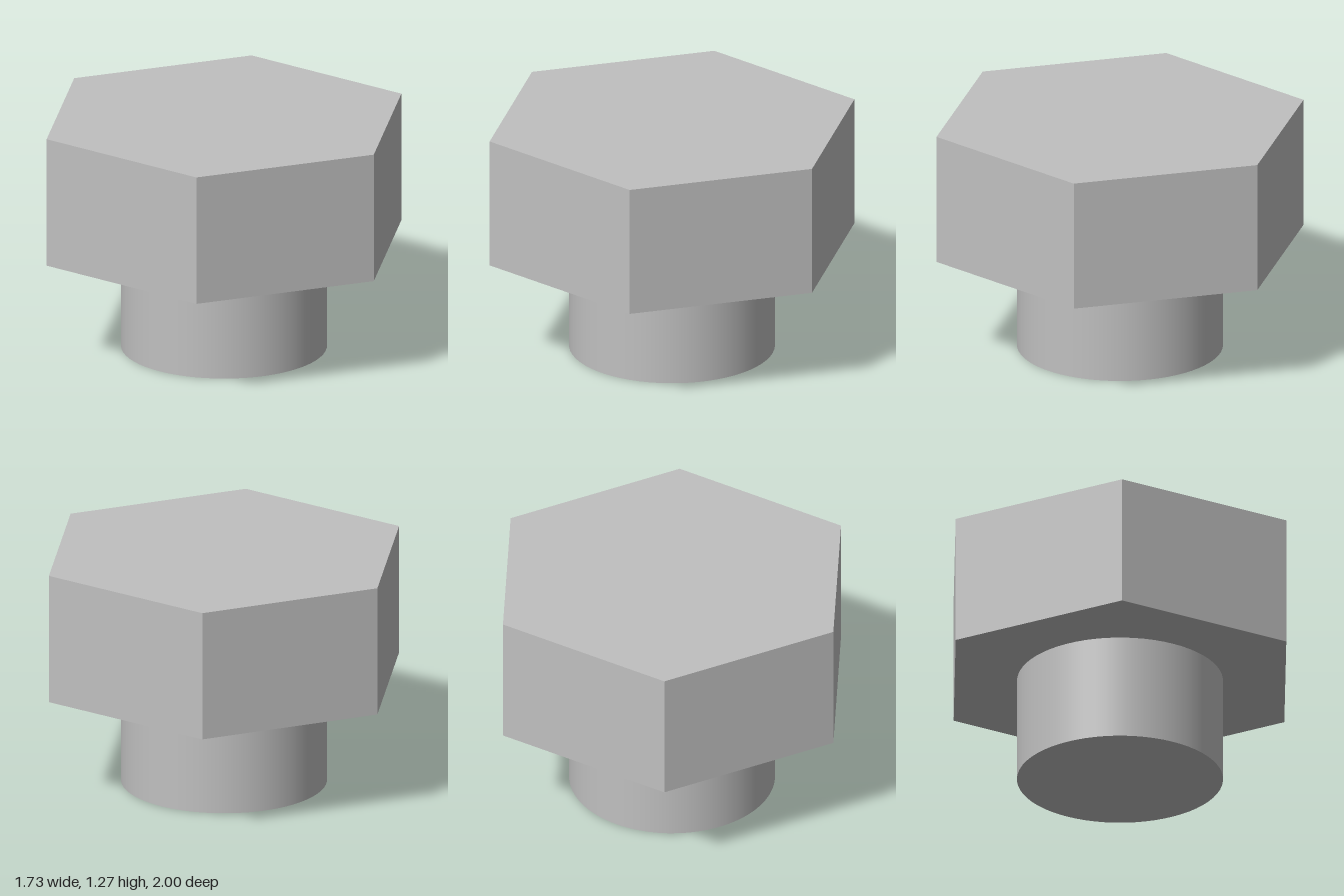
import * as THREE from 'three';

const HEAD_RADIUS = 1;
const HEAD_HEIGHT = 0.7;
const SHANK_RADIUS = 0.54;
const SHANK_HEIGHT = 0.567;

export function createModel() {
  const group = new THREE.Group();
  group.name = 'hexBolt';

  const steel = new THREE.MeshStandardMaterial({ color: 0xc0c0c0 });
  steel.name = 'steel grey';

  // Hexagonal head with hard edges, corners pointing front and back
  const headGeometry = new THREE.CylinderGeometry(HEAD_RADIUS, HEAD_RADIUS, HEAD_HEIGHT, 6).toNonIndexed();
  headGeometry.computeVertexNormals();
  const head = new THREE.Mesh(headGeometry, steel);
  head.name = 'hexHead';
  head.position.y = SHANK_HEIGHT + HEAD_HEIGHT / 2;
  group.add(head);

  // Smooth round shank standing on the ground
  const shank = new THREE.Mesh(
    new THREE.CylinderGeometry(SHANK_RADIUS, SHANK_RADIUS, SHANK_HEIGHT, 64), steel);
  shank.name = 'shank';
  shank.position.y = SHANK_HEIGHT / 2;
  group.add(shank);

  return group;
}
